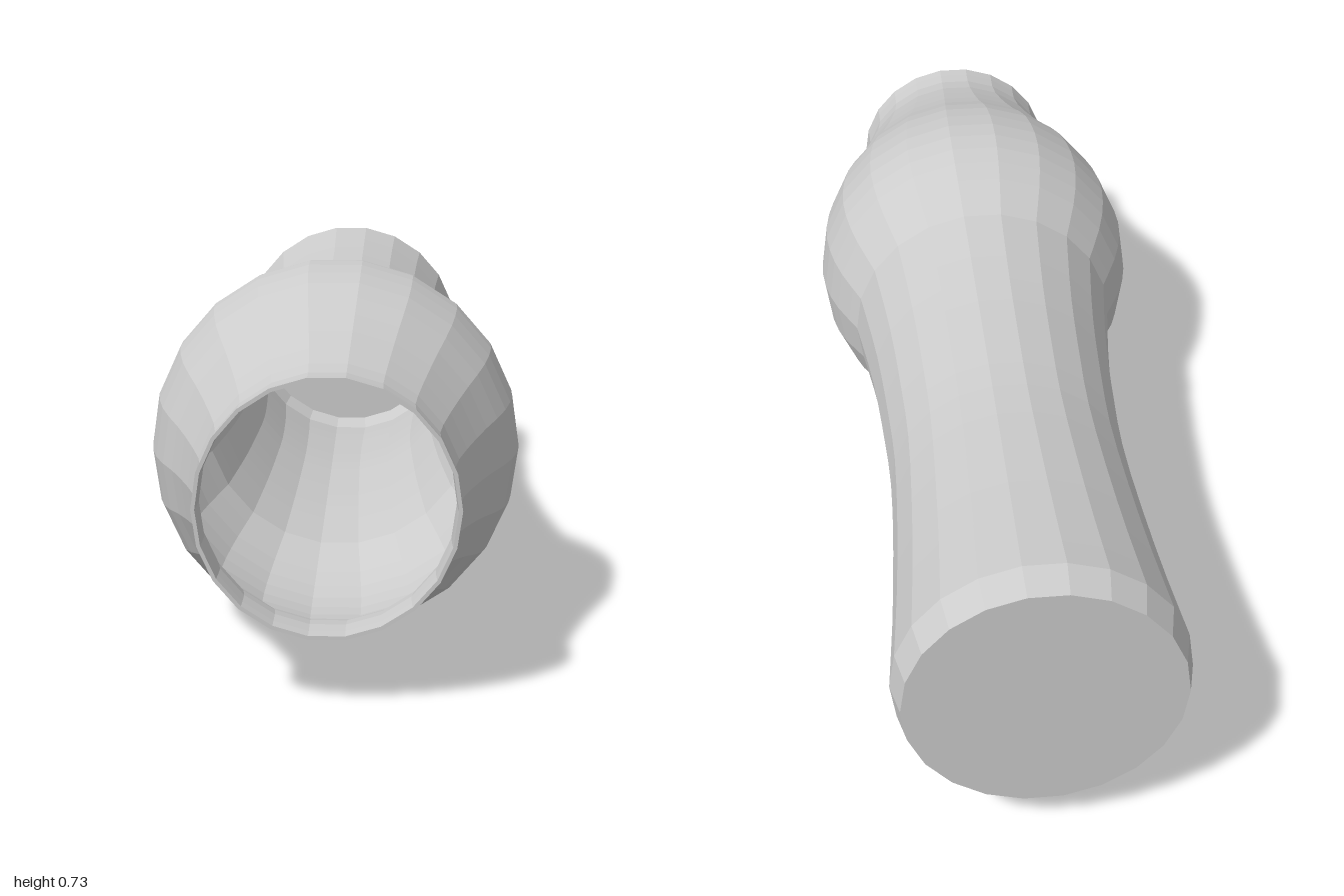
import * as THREE from 'three';

const SIDES = 22;
const RADIUS = 0.367; // widest point of the bulge
const WALL = 0.007;

// smooth run of profile points (radius, position along the axis)
function run(points, steps) {
  const curve = new THREE.SplineCurve(points.map(([r, z]) => new THREE.Vector2(r, z)));
  return curve.getPoints(steps);
}

export function createModel() {
  const group = new THREE.Group();
  const material = new THREE.MeshStandardMaterial({
    color: 0xcccccc, flatShading: true, side: THREE.DoubleSide,
  });

  // waisted neck, from the chamfered back end to the shoulder ridge
  const neck = run([[0.284, -0.935], [0.263, -0.7], [0.248, -0.4], [0.254, -0.2], [0.268, 0], [0.294, 0.2]], 14);
  // rounded bulge narrowing to the open mouth
  const bulge = run([[0.294, 0.2], [0.347, 0.32], [RADIUS, 0.45], [0.345, 0.6], [0.287, 0.75], [0.238, 0.91], [0.236, 1]], 16);

  const outer = [new THREE.Vector2(0.268, -1), ...neck, ...bulge.slice(1)];
  const inner = outer.map((p) => new THREE.Vector2(p.x - WALL, p.y)).reverse();
  inner[inner.length - 1].y += WALL;

  // closed back, outer wall, lip, inner wall and floor in one profile
  const profile = [
    new THREE.Vector2(0, -1), ...outer,
    ...inner, new THREE.Vector2(0, -1 + WALL),
  ];
  const geometry = new THREE.LatheGeometry(profile, SIDES, Math.PI / 2);
  geometry.rotateX(Math.PI / 2);
  geometry.translate(0, RADIUS, 0);

  const vessel = new THREE.Mesh(geometry, material);
  vessel.name = 'hollowVessel';
  group.add(vessel);
  return group;
}
